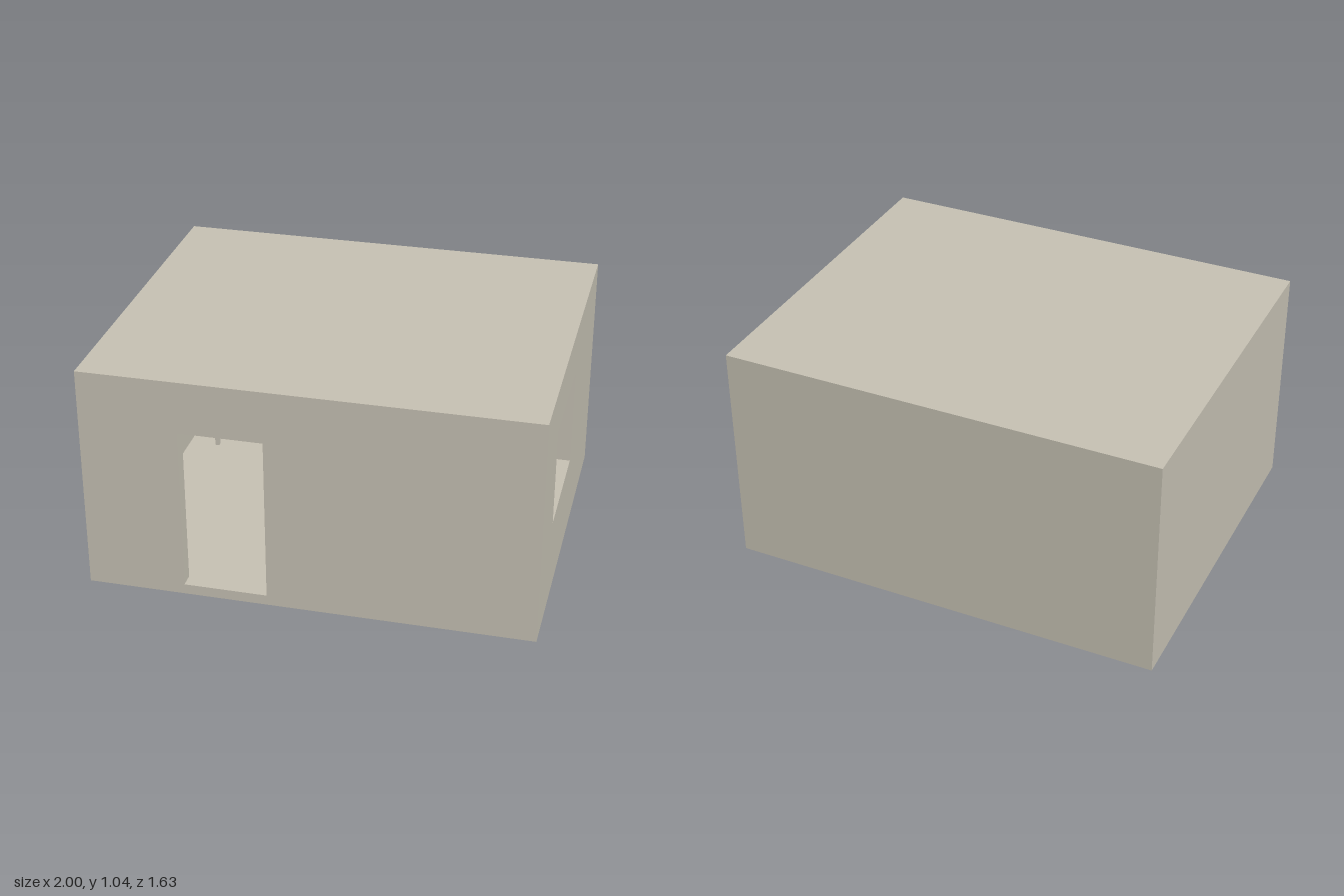
import * as THREE from 'three';
import { mergeGeometries } from 'three/addons/utils/BufferGeometryUtils.js';

const X = 1, Z = 0.814, H = 1.045;             // outer half width, half depth, height
const WALL = 0.066, FLOOR = 0.045, ROOF = 0.035; // thicknesses

// Openings in wall-local coordinates: [left, bottom, right, top]
const DOOR = [-0.56, 0.047, -0.185, 0.805];
const WINDOW = [-0.465, 0.38, 0.09, 0.825];    // local x runs toward -z

const material = new THREE.MeshStandardMaterial({ color: 0xc8c3b5 });

function rectangle(PathType, [l, b, r, t]) {
  return new PathType([[l, b], [r, b], [r, t], [l, t]].map(p => new THREE.Vector2(...p)));
}

function panel(bounds, hole) {
  const shape = rectangle(THREE.Shape, bounds);
  if (hole) shape.holes.push(rectangle(THREE.Path, hole));
  return new THREE.ShapeGeometry(shape);
}

function flip(geometry) {
  geometry.index.array.reverse();
  return geometry;
}

// Six faces of a box-shaped skin, with the door and window cut out
function skin(x, z, y0, y1) {
  const alongX = [-x, y0, x, y1], alongZ = [-z, y0, z, y1], slab = [-x, -z, x, z];
  return [
    panel(alongX, DOOR).translate(0, 0, z),
    panel(alongX).rotateY(Math.PI).translate(0, 0, -z),
    panel(alongZ, WINDOW).rotateY(Math.PI / 2).translate(x, 0, 0),
    panel(alongZ).rotateY(-Math.PI / 2).translate(-x, 0, 0),
    panel(slab).rotateX(-Math.PI / 2).translate(0, y1, 0),
    panel(slab).rotateX(Math.PI / 2).translate(0, y0, 0),
  ];
}

// Four inward-facing sides lining an opening; its wall's outer face is at z = outer
function reveal([l, b, r, t], outer) {
  const g = new THREE.BoxGeometry(r - l, t - b, WALL);
  g.setIndex(Array.from(g.index.array.slice(0, 24)));
  return flip(g).translate((l + r) / 2, (b + t) / 2, outer - WALL / 2);
}

function createShell() {
  const parts = [
    ...skin(X, Z, 0, H),
    ...skin(X - WALL, Z - WALL, FLOOR, H - ROOF).map(flip),
    reveal(DOOR, Z),
    reveal(WINDOW, X).rotateY(Math.PI / 2),
  ].map(g => g.toNonIndexed());
  const geometry = mergeGeometries(parts);
  geometry.computeVertexNormals();
  const mesh = new THREE.Mesh(geometry, material);
  mesh.name = 'houseShell';
  return mesh;
}

// Small table in the back corner
function createTable() {
  const table = new THREE.Group();
  table.name = 'table';
  const w = 0.52, d = 0.3, top = 0.34, under = 0.312, leg = 0.02, c = 0.011;

  // Table top with chamfered lower edges at its ends
  const profile = new THREE.Shape([
    [-w / 2 + c, under], [w / 2 - c, under], [w / 2, under + c],
    [w / 2, top], [-w / 2, top], [-w / 2, under + c],
  ].map(p => new THREE.Vector2(...p)));
  const slab = new THREE.ExtrudeGeometry(profile, { depth: d, bevelEnabled: false });
  const tableTop = new THREE.Mesh(slab.translate(0, 0, -d / 2), material);
  tableTop.name = 'tableTop';
  table.add(tableTop);

  const legGeometry = new THREE.BoxGeometry(leg, under - FLOOR, leg);
  for (const sx of [-1, 1]) for (const sz of [-1, 1]) {
    const mesh = new THREE.Mesh(legGeometry, material);
    mesh.name = 'tableLeg';
    mesh.position.set(sx * (w / 2 - c - leg / 2), (under + FLOOR) / 2, sz * (d / 2 - c - leg / 2));
    table.add(mesh);
  }
  table.position.set(-0.295 - w / 2, 0, -0.56);
  return table;
}

export function createModel() {
  const model = new THREE.Group();
  model.name = 'house';
  model.add(createShell(), createTable());
  return model;
}
